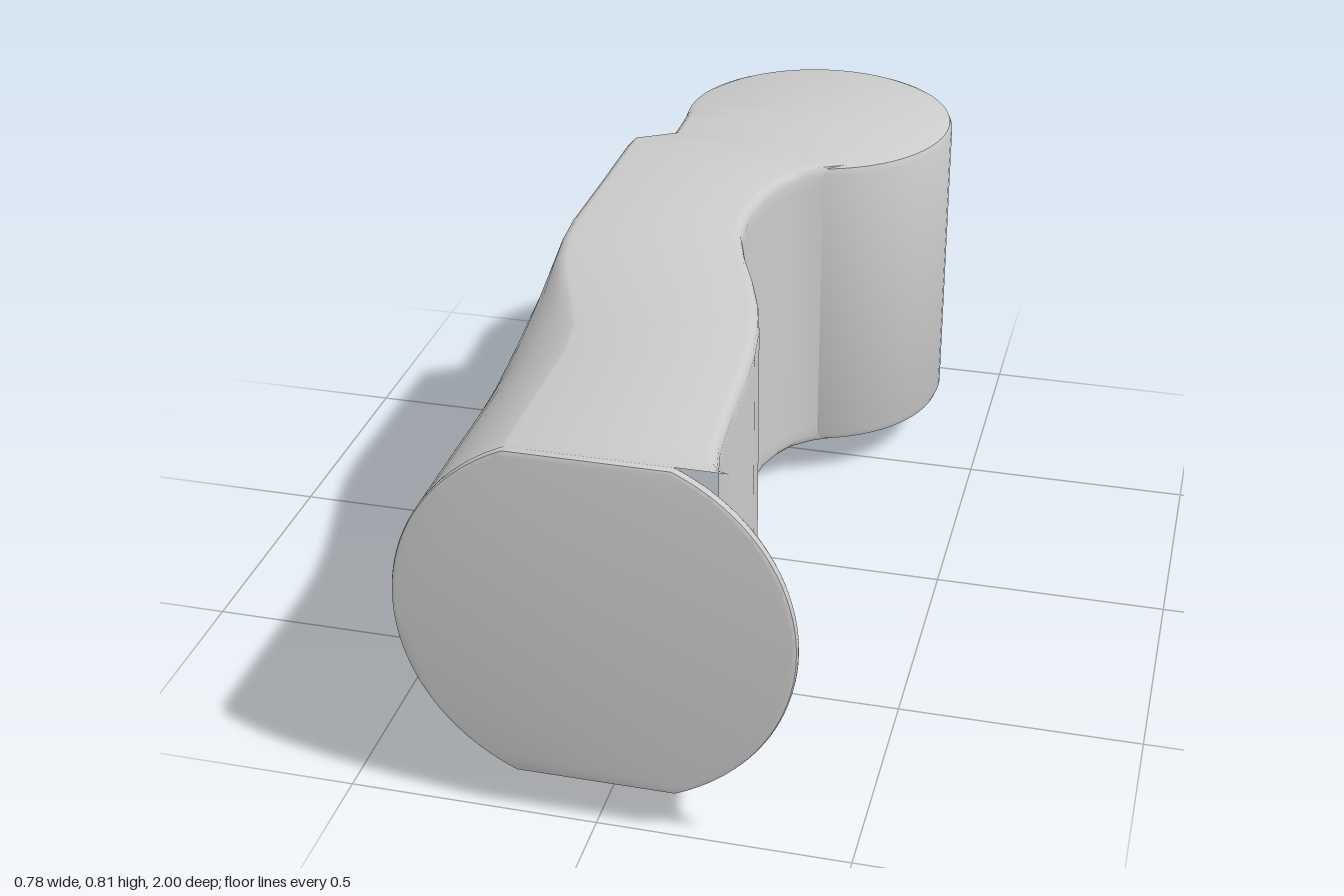
import * as THREE from 'three';
import { toCreasedNormals } from 'three/addons/utils/BufferGeometryUtils.js';

const BOTTOM = 0.095, TOP = 0.805, MID = 0.45, DISC_R = 0.388, BEVEL = 0.022;

// Outline of the arm from above: [z, left edge x, right edge x]
const OUTLINE = [
  [-0.685, -0.24, 0.20], [-0.53, -0.237, 0.20], [-0.5, -0.24, 0.20], [-0.475, -0.28, 0.20],
  [-0.45, -0.322, 0.20], [-0.41, -0.325, 0.20], [-0.38, -0.325, 0.145], [-0.34, -0.325, 0.1],
  [-0.29, -0.325, 0.073], [-0.22, -0.325, 0.05], [-0.1, -0.326, 0.038], [0, -0.33, 0.047],
  [0.1, -0.345, 0.078], [0.2, -0.366, 0.118], [0.3, -0.382, 0.152], [0.4, -0.388, 0.177],
  [0.5, -0.388, 0.191], [0.6, -0.388, 0.2], [0.75, -0.388, 0.206], [0.88, -0.388, 0.216],
  [0.95, -0.388, 0.23], [0.975, -0.386, 0.25], [0.985, -0.38, 0.28],
];

// Cross-section: bevelled flat right wall, left wall turning from flat to round
function armSection([z, left, right]) {
  const t = THREE.MathUtils.smoothstep(z, -0.05, 0.6);
  const steps = 24, ring = [];
  const ys = [];
  for (let i = 0; i <= 3; i++) ys.push(BOTTOM + BEVEL * (1 - Math.cos(i * Math.PI / 6)));
  for (let i = 1; i < steps; i++) {
    ys.push(THREE.MathUtils.lerp(BOTTOM + BEVEL, TOP - BEVEL, i / steps));
  }
  for (let i = 3; i >= 0; i--) ys.push(TOP - BEVEL * (1 - Math.cos(i * Math.PI / 6)));
  const inset = (y) => {
    const d = Math.max(0, BEVEL - Math.min(y - BOTTOM, TOP - y));
    return BEVEL - Math.sqrt(Math.max(0, BEVEL * BEVEL - d * d));
  };
  for (const y of ys) ring.push([right - inset(y), y, z]);
  for (const y of ys.slice().reverse()) {
    const round = left * Math.sqrt(1 - ((y - MID) / DISC_R) ** 2);
    ring.push([THREE.MathUtils.lerp(left + inset(y), round, t), y, z]);
  }
  return ring;
}

// Skin a row of equal rings running towards +z
function loft(rings) {
  const n = rings[0].length, index = [];
  for (let j = 0; j < rings.length - 1; j++) {
    for (let i = 0; i < n; i++) {
      const k = (i + 1) % n;
      const a = j * n + i, b = j * n + k, c = b + n, d = a + n;
      index.push(a, b, c, a, c, d);
    }
  }
  const g = new THREE.BufferGeometry();
  g.setAttribute('position', new THREE.Float32BufferAttribute(rings.flat(2), 3));
  g.setIndex(index);
  return g;
}

function lathe(points, segments) {
  return new THREE.LatheGeometry(points.map(([r, y]) => new THREE.Vector2(r, y)), segments);
}

export function createModel() {
  const group = new THREE.Group();
  const material = new THREE.MeshStandardMaterial({ color: 0xcccccc });
  const add = (name, geometry, crease = 0.6) => {
    const mesh = new THREE.Mesh(toCreasedNormals(geometry, crease), material);
    mesh.name = name;
    group.add(mesh);
    return mesh;
  };

  // Curved arm
  add('arm', loft(OUTLINE.map(armSection)));

  // Upright round head at the back
  const R = 0.315;
  const head = add('head', lathe([
    [0, BOTTOM], [R - BEVEL, BOTTOM], [R - 0.006, BOTTOM + 0.007], [R, BOTTOM + BEVEL],
    [R, TOP - BEVEL], [R - 0.006, TOP - 0.007], [R - BEVEL, TOP], [0, TOP],
  ], 64));
  head.position.set(0.07, 0, -0.685);

  // Small foot under the head
  const foot = add('foot', lathe([
    [0, 0], [0.055, 0], [0.08, 0.014], [0.088, 0.035], [0.098, 0.068],
    [0.115, 0.085], [0.135, BOTTOM + 0.002],
  ], 12), 0.4);
  foot.position.set(0.08, 0, -0.685);

  // Thin front disc, cut flat at top and bottom
  const b = 0.008, r = DISC_R - b;
  const a = Math.asin((TOP - MID - b) / r);
  const disc = new THREE.Shape();
  disc.absarc(0, MID, r, -a, a);
  disc.absarc(0, MID, r, Math.PI - a, Math.PI + a);
  const face = add('frontDisc', new THREE.ExtrudeGeometry(disc, {
    depth: 0.006, bevelThickness: b, bevelSize: b, bevelSegments: 2, curveSegments: 32,
  }));
  face.position.z = 1 - 0.006 - b;

  return group;
}
